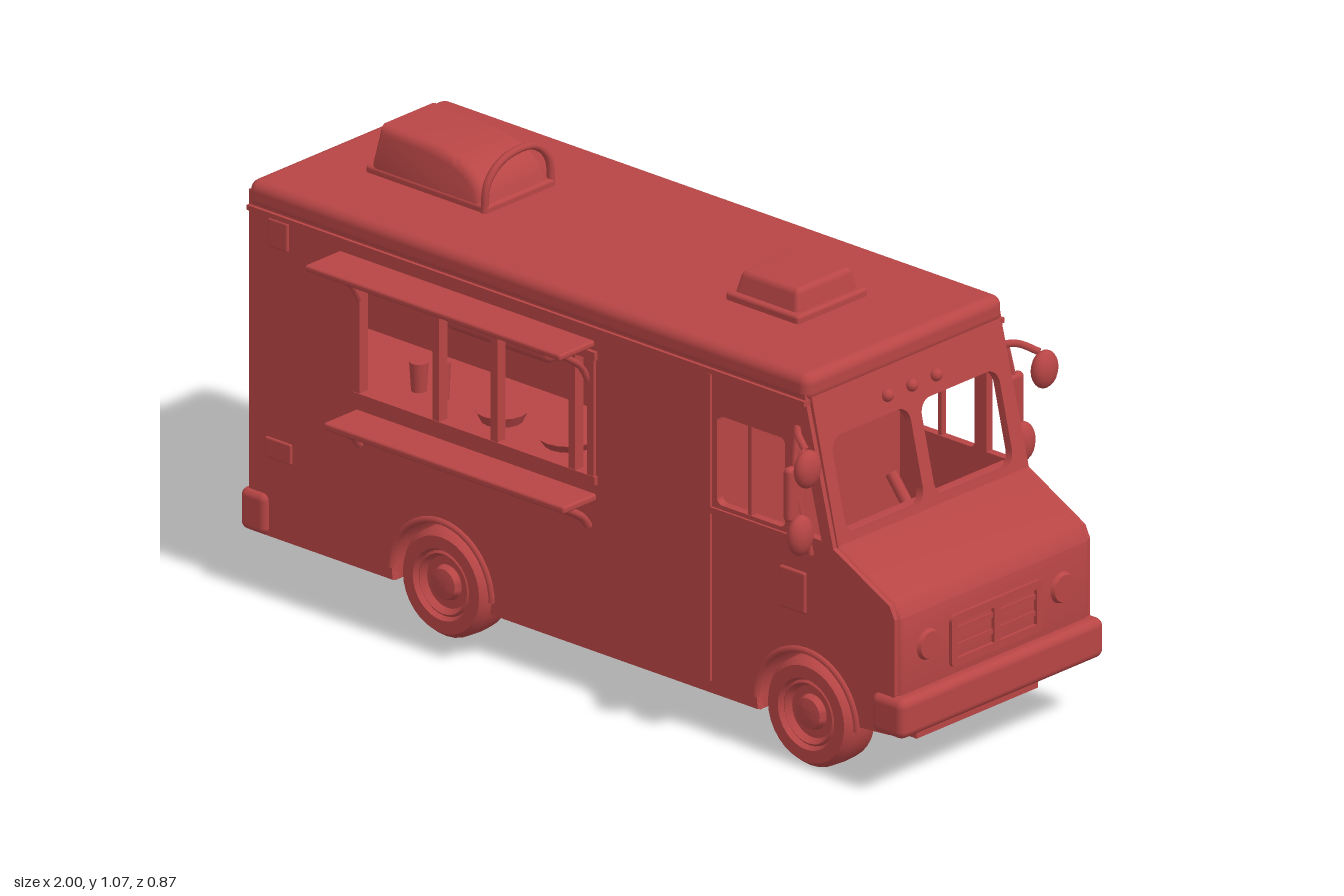
import * as THREE from 'three';
import { RoundedBoxGeometry } from 'three/addons/geometries/RoundedBoxGeometry.js';
import { toCreasedNormals } from 'three/addons/utils/BufferGeometryUtils.js';

const paint = new THREE.MeshStandardMaterial({ color: 0xb84545 });
const paintThin = new THREE.MeshStandardMaterial({ color: 0xb84545, side: THREE.DoubleSide });
const V = (x, y, z) => new THREE.Vector3(x, y, z);

const poly = pts => new THREE.Shape(pts.map(p => new THREE.Vector2(...p)));
const rect = (x0, y0, x1, y1) => poly([[x0, y0], [x1, y0], [x1, y1], [x0, y1]]);
const extrude = (shape, depth, bevel = 0) => new THREE.ExtrudeGeometry(shape, {
  depth: depth - 2 * bevel, curveSegments: 16, bevelEnabled: bevel > 0,
  bevelSize: bevel, bevelThickness: bevel, bevelOffset: -bevel, bevelSegments: 3,
}).translate(0, 0, bevel);

function roundRect(x0, y0, x1, y1, r) {
  const s = new THREE.Shape();
  s.absarc(x1 - r, y1 - r, r, 0, Math.PI / 2);
  s.absarc(x0 + r, y1 - r, r, Math.PI / 2, Math.PI);
  s.absarc(x0 + r, y0 + r, r, Math.PI, Math.PI * 1.5);
  s.absarc(x1 - r, y0 + r, r, Math.PI * 1.5, Math.PI * 2);
  return s;
}

export function createModel() {
  const truck = new THREE.Group();
  truck.name = 'foodTruck';
  const add = (name, geo, parent = truck, mat = paint) => {
    const m = new THREE.Mesh(geo, mat);
    m.name = name;
    parent.add(m);
    return m;
  };
  // Box given by its two extreme corners, optionally rounded
  const box = (name, [x0, y0, z0], [x1, y1, z1], r = 0, parent = truck) => {
    const s = [x1 - x0, y1 - y0, z1 - z0];
    const m = add(name, r ? new RoundedBoxGeometry(...s, 3, r) : new THREE.BoxGeometry(...s), parent);
    m.position.set((x0 + x1) / 2, (y0 + y1) / 2, (z0 + z1) / 2);
    return m;
  };
  const rod = (name, pts, r, parent = truck) =>
    add(name, new THREE.TubeGeometry(new THREE.CatmullRomCurve3(pts), pts.length * 6, r, 8), parent, paintThin);

  const wheelX = [-0.4, 0.7];

  // Side walls with wheel arches, serving hatch and cab windows
  const side = new THREE.Shape();
  side.moveTo(-0.98, 0.1);
  for (const x of wheelX) {
    const a = x < 0 ? 0.25 : 0.2;
    side.lineTo(x - 0.146, 0.1);
    side.absarc(x, 0.13, 0.15, Math.PI + 0.2, x < 0 ? -0.2 : a * 0.4, true);
  }
  [[0.95, 0.15], [0.965, 0.25], [0.965, 0.43], [0.95, 0.46], [0.78, 0.55], [0.7, 0.87], [0.69, 0.92], [-0.98, 0.92]]
    .forEach(p => side.lineTo(...p));
  side.holes.push(
    rect(-0.64, 0.52, 0.05, 0.81),
    roundRect(0.43, 0.56, 0.635, 0.775, 0.015),
    poly([[0.67, 0.56], [0.745, 0.56], [0.69, 0.775], [0.67, 0.775]]));
  for (const z of [-0.322, 0.302]) add('sideWall', extrude(side, 0.02).translate(0, 0, z));

  // Shell: roof, back, partitions
  box('roof', [-0.985, 0.875, -0.325], [0.705, 0.943, 0.325], 0.025);
  box('backWall', [-0.98, 0.1, -0.315], [-0.95, 0.92, 0.315]);
  box('cabPartition', [0.39, 0.12, -0.305], [0.41, 0.9, 0.305]);
  box('kitchenPartition', [-0.95, 0.12, -0.015], [0.4, 0.9, 0.015]);

  // Floor notched around the wheels
  const floor = poly([
    [-0.97, -0.31], [-0.55, -0.31], [-0.55, -0.2], [-0.25, -0.2], [-0.25, -0.31], [0.55, -0.31], [0.55, -0.2], [0.92, -0.2],
    [0.92, 0.2], [0.55, 0.2], [0.55, 0.31], [-0.25, 0.31], [-0.25, 0.2], [-0.55, 0.2], [-0.55, 0.31], [-0.97, 0.31]]);
  add('floor', extrude(floor, 0.04).rotateX(-Math.PI / 2).translate(0, 0.095, 0));

  // Nose with sloping hood
  const nose = poly([[0.72, 0.28], [0.84, 0.28], [0.87, 0.15], [0.955, 0.15], [0.972, 0.26], [0.972, 0.43], [0.95, 0.465], [0.78, 0.555], [0.72, 0.555]]);
  add('nose', toCreasedNormals(extrude(nose, 0.63, 0.015), 0.6).translate(0, 0, -0.315));

  // Sloped windshield frame with two panes cut out
  const shield = rect(-0.31, 0, 0.31, 0.35);
  shield.holes.push(roundRect(-0.275, 0.02, -0.018, 0.245, 0.035), roundRect(0.018, 0.02, 0.275, 0.245, 0.035));
  const up = V(-0.08, 0.34, 0).normalize(), across = V(0, 0, -1);
  const slope = new THREE.Matrix4().makeBasis(across, up, across.clone().cross(up)).setPosition(0.765, 0.545, 0);
  add('windshieldFrame', extrude(shield, 0.02).applyMatrix4(slope));

  // Front grille and lamps
  const grille = roundRect(-0.15, 0.265, 0.15, 0.39, 0.015);
  grille.holes.push(rect(-0.13, 0.285, -0.01, 0.37), rect(0.01, 0.285, 0.13, 0.37));
  add('grille', extrude(grille, 0.012).rotateY(Math.PI / 2).translate(0.968, 0, 0));
  for (const y of [0.305, 0.345]) box('grilleBar', [0.965, y, -0.13], [0.976, y + 0.012, 0.13]);
  for (const s of [-1, 1]) {
    const lamp = add('headlight', new THREE.CylinderGeometry(0.032, 0.04, 0.015, 20).rotateZ(-Math.PI / 2));
    lamp.position.set(0.974, 0.345, s * 0.22);
  }
  for (const z of [-0.08, 0, 0.08]) {
    const m = add('markerLight', new THREE.SphereGeometry(0.015, 10, 8));
    m.position.set(0.722, 0.83, z);
  }

  // Bumpers, the front one wrapping back along the sides
  box('frontBumper', [0.9, 0.15, -0.335], [1, 0.245, 0.335], 0.02);
  box('rearBumper', [-1, 0.1, -0.335], [-0.92, 0.2, 0.335], 0.018);

  // Wheels, wells and axles
  const tyre = [[0.075, -0.05], [0.115, -0.052], [0.128, -0.035], [0.13, 0], [0.128, 0.035], [0.115, 0.052], [0.085, 0.052],
    [0.078, 0.04], [0.072, 0.045], [0.062, 0.03], [0.042, 0.03], [0.036, 0.046], [0.015, 0.05], [0, 0.05]];
  const tyreGeo = toCreasedNormals(new THREE.LatheGeometry(tyre.map(p => new THREE.Vector2(...p)), 32).rotateX(Math.PI / 2), 0.7);
  for (const x of wheelX) {
    const axle = add('axle', new THREE.CylinderGeometry(0.022, 0.022, 0.5, 12).rotateX(Math.PI / 2));
    axle.position.set(x, 0.11, 0);
    for (const s of [-1, 1]) {
      const wheel = add('wheel', tyreGeo, truck, paintThin);
      wheel.position.set(x, 0.13, s * 0.272);
      if (s < 0) wheel.rotation.y = Math.PI;
      const well = add('wheelWell', new THREE.CylinderGeometry(0.15, 0.15, 0.11, 24, 1, true, 0, Math.PI)
        .rotateX(Math.PI / 2).rotateZ(Math.PI / 2), truck, paintThin);
      well.position.set(x, 0.13, s * 0.255);
      const back = add('wheelWellBack', new THREE.CircleGeometry(0.15, 24, 0, Math.PI), truck, paintThin);
      back.position.set(x, 0.13, s * 0.2);
      const lip = add('archLip', new THREE.TorusGeometry(0.152, 0.008, 6, 24, Math.PI));
      lip.position.set(x, 0.13, s * 0.322);
    }
  }

  // Fittings shared by both sides; z is measured outward on each
  for (const s of [-1, 1]) {
    const g = new THREE.Group();
    g.name = s > 0 ? 'leftFittings' : 'rightFittings';
    g.scale.z = s;
    truck.add(g);

    // Serving hatch
    box('awning', [-0.71, 0.832, 0.315], [0.06, 0.848, 0.435], 0.006, g);
    box('shelf', [-0.66, 0.462, 0.315], [0.065, 0.48, 0.428], 0.006, g);
    box('hatchSill', [-0.66, 0.505, 0.3], [0.07, 0.525, 0.332], 0, g);
    box('hatchHeader', [-0.66, 0.805, 0.3], [0.07, 0.825, 0.332], 0, g);
    for (const x of [-0.65, -0.41, -0.235, 0.0, 0.055]) box('hatchPost', [x - 0.01, 0.515, 0.303], [x + 0.01, 0.815, 0.33], 0, g);
    for (const x of [-0.645, 0.045]) {
      rod('awningBrace', [V(x, 0.75, 0.325), V(x, 0.79, 0.35), V(x, 0.835, 0.41)], 0.008, g);
      rod('shelfBrace', [V(x, 0.4, 0.325), V(x, 0.425, 0.345), V(x, 0.465, 0.405)], 0.01, g);
    }

    // Kitchen interior
    box('counter', [-0.95, 0.47, 0.01], [0.39, 0.51, 0.305], 0, g);
    box('cabinet', [-0.6, 0.62, 0.01], [-0.28, 0.79, 0.1], 0.02, g);
    const dial = add('wallPlate', new THREE.CylinderGeometry(0.055, 0.055, 0.03, 24).rotateX(Math.PI / 2), g);
    dial.position.set(-0.165, 0.7, 0.025);
    [[-0.58, 0.022, 0.07], [-0.51, 0.02, 0.09], [-0.33, 0.06, 0.025], [-0.13, 0.07, 0.02]].forEach(([x, r, h]) => {
      const pot = add('crockery', new THREE.CylinderGeometry(r, r * 0.8, h, 16), g);
      pot.position.set(x, 0.51 + h / 2, 0.2);
    });

    // Cab door trim
    box('doorSeam', [0.405, 0.13, 0.318], [0.415, 0.87, 0.328], 0, g);
    box('doorRail', [0.415, 0.535, 0.315], [0.66, 0.55, 0.328], 0, g);
    box('windowBar', [0.522, 0.56, 0.305], [0.532, 0.775, 0.32], 0, g);
    box('sidePanel', [0.62, 0.37, 0.31], [0.7, 0.47, 0.328], 0.006, g);
    box('rearVent', [-0.92, 0.8, 0.31], [-0.86, 0.87, 0.328], 0.005, g);
    box('fuelFlap', [-0.93, 0.29, 0.31], [-0.85, 0.34, 0.327], 0.005, g);
    box('gutter', [-0.98, 0.872, 0.31], [0.7, 0.884, 0.33], 0, g);

    // Mirrors
    rod('mirrorArm', [V(0.67, 0.81, 0.32), V(0.71, 0.815, 0.36), V(0.755, 0.8, 0.385)], 0.009, g);
    rod('mirrorStay', [V(0.69, 0.81, 0.345), V(0.7, 0.7, 0.36), V(0.715, 0.52, 0.325)], 0.008, g);
    const head = add('upperMirror', new THREE.SphereGeometry(1, 18, 12).scale(0.024, 0.045, 0.038), g);
    head.position.set(0.765, 0.76, 0.39);
    box('flatMirror', [0.685, 0.61, 0.33], [0.71, 0.74, 0.388], 0.011, g);
    const low = add('lowerMirror', new THREE.SphereGeometry(1, 18, 12).scale(0.025, 0.048, 0.036), g);
    low.position.set(0.72, 0.58, 0.365);
  }

  // Steering wheel
  const steering = new THREE.Group();
  steering.name = 'steeringWheel';
  add('rim', new THREE.TorusGeometry(0.08, 0.009, 8, 28), steering);
  add('hub', new THREE.SphereGeometry(0.026, 12, 8), steering);
  for (let i = 0; i < 3; i++) {
    const a = Math.PI / 6 + i * Math.PI * 2 / 3;
    rod('spoke', [V(0, 0, 0), V(0.08 * Math.cos(a), 0.08 * Math.sin(a), 0)], 0.007, steering);
  }
  steering.rotation.set(0, Math.PI / 2, 0);
  steering.rotateX(-0.5);
  steering.position.set(0.66, 0.6, 0);
  rod('steeringColumn', [V(0.66, 0.6, 0), V(0.74, 0.5, 0)], 0.014);

  // Rear roof vent: domed hood whose sides lean inward, with a hoop
  const hood = new THREE.Shape();
  hood.moveTo(-0.815, 0.93);
  hood.lineTo(-0.795, 1.055);
  hood.lineTo(-0.63, 1.052);
  hood.bezierCurveTo(-0.55, 1.045, -0.49, 1.02, -0.475, 0.97);
  hood.lineTo(-0.46, 0.93);
  const hoodGeo = extrude(hood, 0.22, 0.02).translate(0, 0, -0.11);
  const p = hoodGeo.attributes.position;
  for (let i = 0; i < p.count; i++) p.setZ(i, p.getZ(i) * (1.05 - (p.getY(i) - 0.94) * 1.5));
  add('rearRoofVent', toCreasedNormals(hoodGeo, 0.7));
  box('rearVentBase', [-0.82, 0.935, -0.115], [-0.455, 0.96, 0.115], 0.008);
  rod('ventHoop', [V(-0.465, 0.94, 0.11), V(-0.465, 1.01, 0.1), V(-0.465, 1.052, 0.05), V(-0.465, 1.055, -0.05),
    V(-0.465, 1.01, -0.1), V(-0.465, 0.94, -0.11)], 0.009);

  // Front roof vent: tapered hatch on a flange
  box('frontVentBase', [0.265, 0.935, -0.115], [0.485, 0.962, 0.115], 0.008);
  const cap = new RoundedBoxGeometry(0.2, 0.07, 0.21, 3, 0.012);
  const q = cap.attributes.position;
  for (let i = 0; i < q.count; i++) {
    const k = 1 - (q.getY(i) + 0.035) * 2.2;
    q.setXYZ(i, q.getX(i) * k, q.getY(i), q.getZ(i) * k);
  }
  cap.computeVertexNormals();
  add('frontRoofVent', cap).position.set(0.375, 0.977, 0);

  return truck;
}
